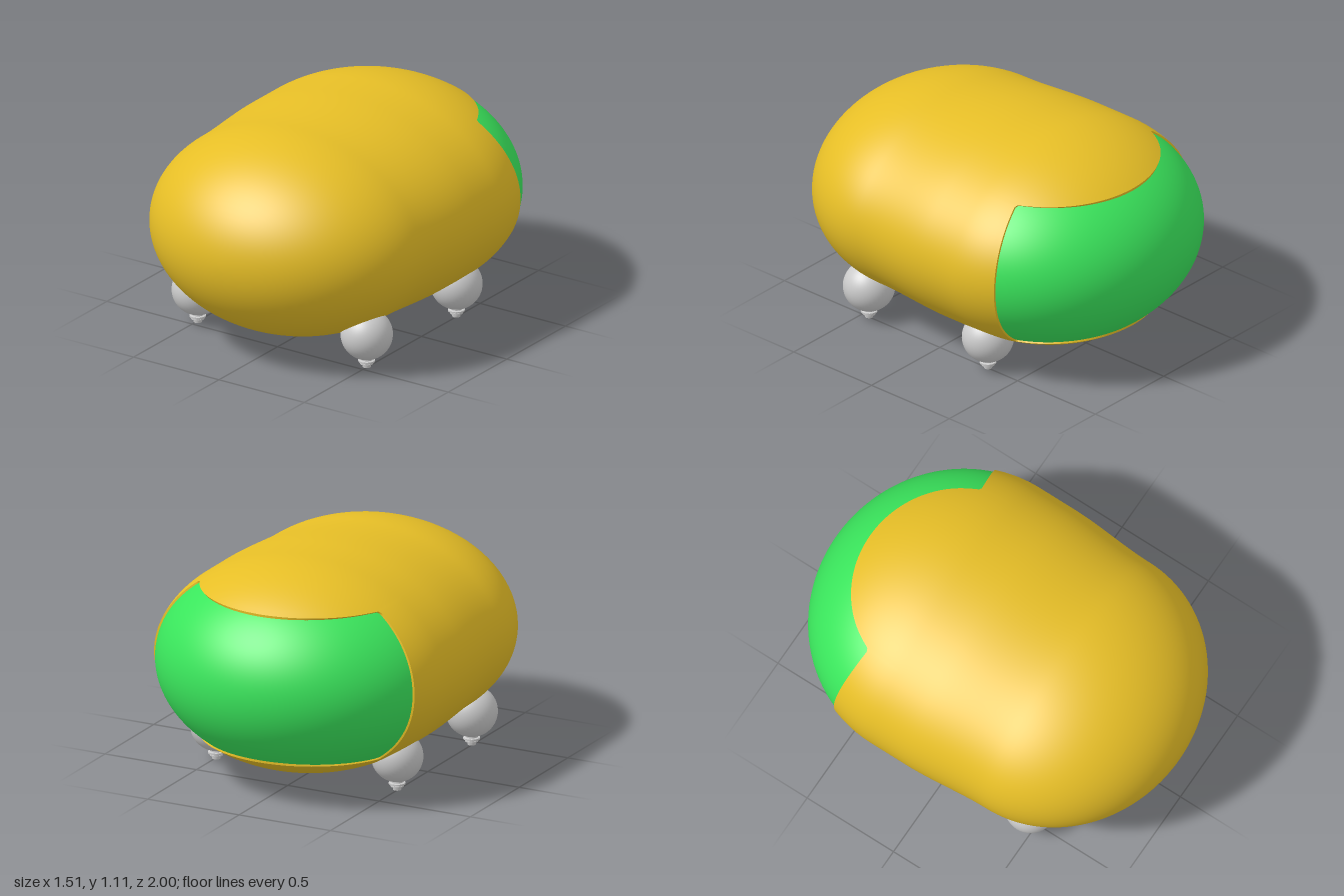
import * as THREE from 'three';
import { mergeVertices } from 'three/addons/utils/BufferGeometryUtils.js';

const HALF_WIDTH = 0.755, HALF_HEIGHT = 0.528, CENTER_Y = 0.585;
const OPENING = 0.378; // half height of the rear opening
const REAR_Z = -0.3, REAR_LENGTH = 0.713, FRONT_Z = 0.35, FRONT_LENGTH = 0.65;

// relative size of the elliptical cross-section along the shell
function sectionScale(z) {
  if (z > FRONT_Z) return 0.965 * Math.sqrt(Math.max(0, 1 - ((z - FRONT_Z) / FRONT_LENGTH) ** 2));
  if (z > -0.1) return 0.965 + 0.035 * THREE.MathUtils.smoothstep(FRONT_Z - z, 0, FRONT_Z + 0.1);
  if (z > REAR_Z) return 1;
  return Math.sqrt(Math.max(0, 1 - ((z - REAR_Z) / REAR_LENGTH) ** 2));
}

// where the shell ends at each angle: a bowed side edge and level upper and lower lips
function shellEnd(angle) {
  const sin = Math.abs(Math.sin(angle));
  const q = OPENING / (HALF_HEIGHT * Math.max(sin, 0.01));
  const lip = q < 1 ? REAR_Z - REAR_LENGTH * Math.sqrt(1 - q * q) : REAR_Z;
  const rise = Math.min(1, (HALF_HEIGHT * 0.96 * sin) / OPENING);
  const side = -0.535 + 0.055 * rise * rise;
  const k = 0.03; // rounds the corners of the opening
  const h = Math.max(k - Math.abs(lip - side), 0) / k;
  return Math.min(lip, side) - (h * h * k) / 4;
}

function shellPoint(angle, z, inset = 1) {
  const s = sectionScale(z) * inset;
  return [HALF_WIDTH * s * Math.cos(angle), CENTER_Y + HALF_HEIGHT * s * Math.sin(angle), z];
}

// closed rings of points running from front to back
function ringSurface(rows, columns, point) {
  const positions = [], index = [];
  for (let i = 0; i <= rows; i++) {
    for (let j = 0; j < columns; j++) positions.push(...point(i / rows, (j / columns) * Math.PI * 2));
  }
  for (let i = 0; i < rows; i++) {
    for (let j = 0; j < columns; j++) {
      const a = i * columns + j, b = i * columns + ((j + 1) % columns);
      index.push(a, a + columns, b, b, a + columns, b + columns);
    }
  }
  const geometry = new THREE.BufferGeometry();
  geometry.setAttribute('position', new THREE.Float32BufferAttribute(positions, 3));
  geometry.setIndex(index);
  const merged = mergeVertices(geometry, 1e-5);
  merged.computeVertexNormals();
  return merged;
}

export function createModel() {
  const model = new THREE.Group();
  const yellow = new THREE.MeshStandardMaterial({ color: 0xe6be26, side: THREE.DoubleSide });
  const green = new THREE.MeshStandardMaterial({ color: 0x3ae65c });
  const grey = new THREE.MeshStandardMaterial({ color: 0xcccccc });

  function add(parent, name, geometry, material) {
    const mesh = new THREE.Mesh(geometry, material);
    mesh.name = name;
    parent.add(mesh);
    return mesh;
  }

  // outer shell: domed front, then straight flanks out to the opening
  add(model, 'shell', ringSurface(72, 256, (u, angle) => {
    const z = u < 0.4
      ? FRONT_Z + FRONT_LENGTH * Math.cos((u / 0.4) * Math.PI / 2)
      : THREE.MathUtils.lerp(FRONT_Z, shellEnd(angle), (u - 0.4) / 0.6);
    return shellPoint(angle, z);
  }), yellow);

  // thickness of the shell around the opening
  add(model, 'openingRim', ringSurface(1, 256, (u, angle) =>
    shellPoint(angle, shellEnd(angle), 1 - 0.04 * u)), yellow);

  // rear window dome, set slightly inside the shell
  add(model, 'rearWindow', ringSurface(48, 128, (u, angle) => {
    const t = (u * Math.PI) / 2, s = 0.987 * Math.cos(t);
    return [HALF_WIDTH * s * Math.cos(angle), CENTER_Y + HALF_HEIGHT * s * Math.sin(angle),
      REAR_Z - 0.7 * Math.sin(t)];
  }), green);

  // round feet with stepped tips
  const ball = new THREE.SphereGeometry(0.127, 40, 28);
  const tipProfile = [[0, 0.005], [0.02, 0.005], [0.022, 0.02], [0.032, 0.022], [0.032, 0.029],
    [0.027, 0.031], [0.041, 0.034], [0.041, 0.042], [0.03, 0.045], [0.03, 0.06]]
    .map(([r, y]) => new THREE.Vector2(r, y));
  const tip = new THREE.LatheGeometry(tipProfile, 24).toNonIndexed();
  tip.computeVertexNormals();
  for (const [end, z] of [['front', 0.46], ['rear', -0.305]]) {
    for (const [side, sign] of [['Left', 1], ['Right', -1]]) {
      const foot = new THREE.Group();
      foot.name = `${end}${side}Foot`;
      foot.position.set(sign * 0.495, 0, z);
      add(foot, 'footBall', ball, grey).position.y = 0.171;
      add(foot, 'footTip', tip, grey).position.y = -0.005;
      model.add(foot);
    }
  }
  return model;
}
